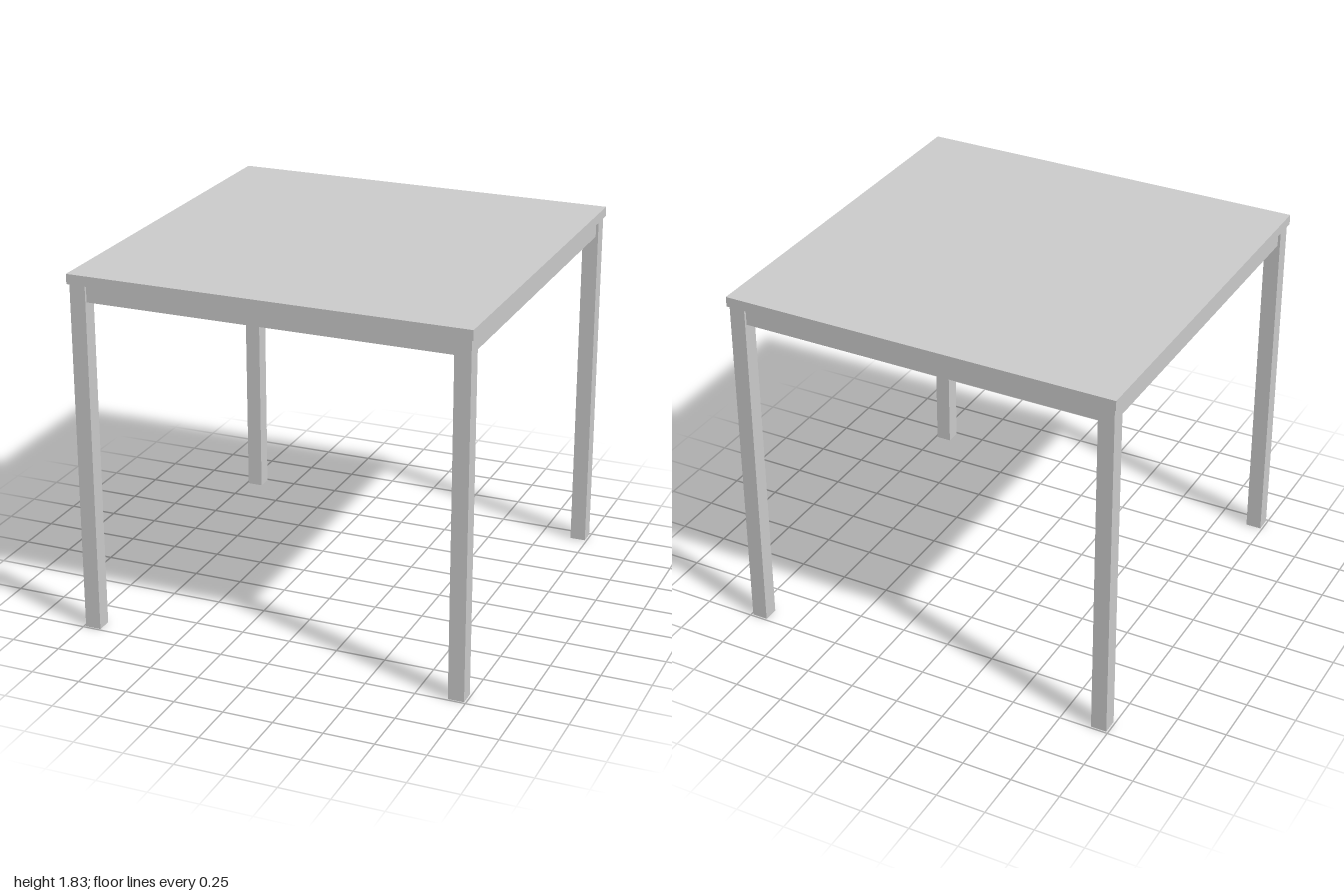
import * as THREE from 'three';

const HEIGHT = 1.83, TOP_UNDERSIDE = 1.78, FRAME_UNDERSIDE = 1.695;
const LEG = 0.08, LEG_CENTRE = 0.95, FRAME_WIDTH = 1.955;

export function createModel() {
  const model = new THREE.Group();
  model.name = 'table';
  const material = new THREE.MeshStandardMaterial({ color: 0xcccccc });

  // Box standing between two heights
  const addBox = (name, width, bottom, top, x = 0, z = 0) => {
    const mesh = new THREE.Mesh(new THREE.BoxGeometry(width, top - bottom, width), material);
    mesh.name = name;
    mesh.position.set(x, (bottom + top) / 2, z);
    model.add(mesh);
  };

  // Square top and the closed frame beneath it, slightly set back
  addBox('tabletop', 2, TOP_UNDERSIDE, HEIGHT);
  addBox('frame', FRAME_WIDTH, FRAME_UNDERSIDE, TOP_UNDERSIDE);

  // Four square legs at the corners
  for (const [side, x] of [['Left', 1], ['Right', -1]]) {
    for (const [end, z] of [['front', 1], ['back', -1]]) {
      addBox(`${end}${side}Leg`, LEG, 0, TOP_UNDERSIDE, x * LEG_CENTRE, z * LEG_CENTRE);
    }
  }
  return model;
}
